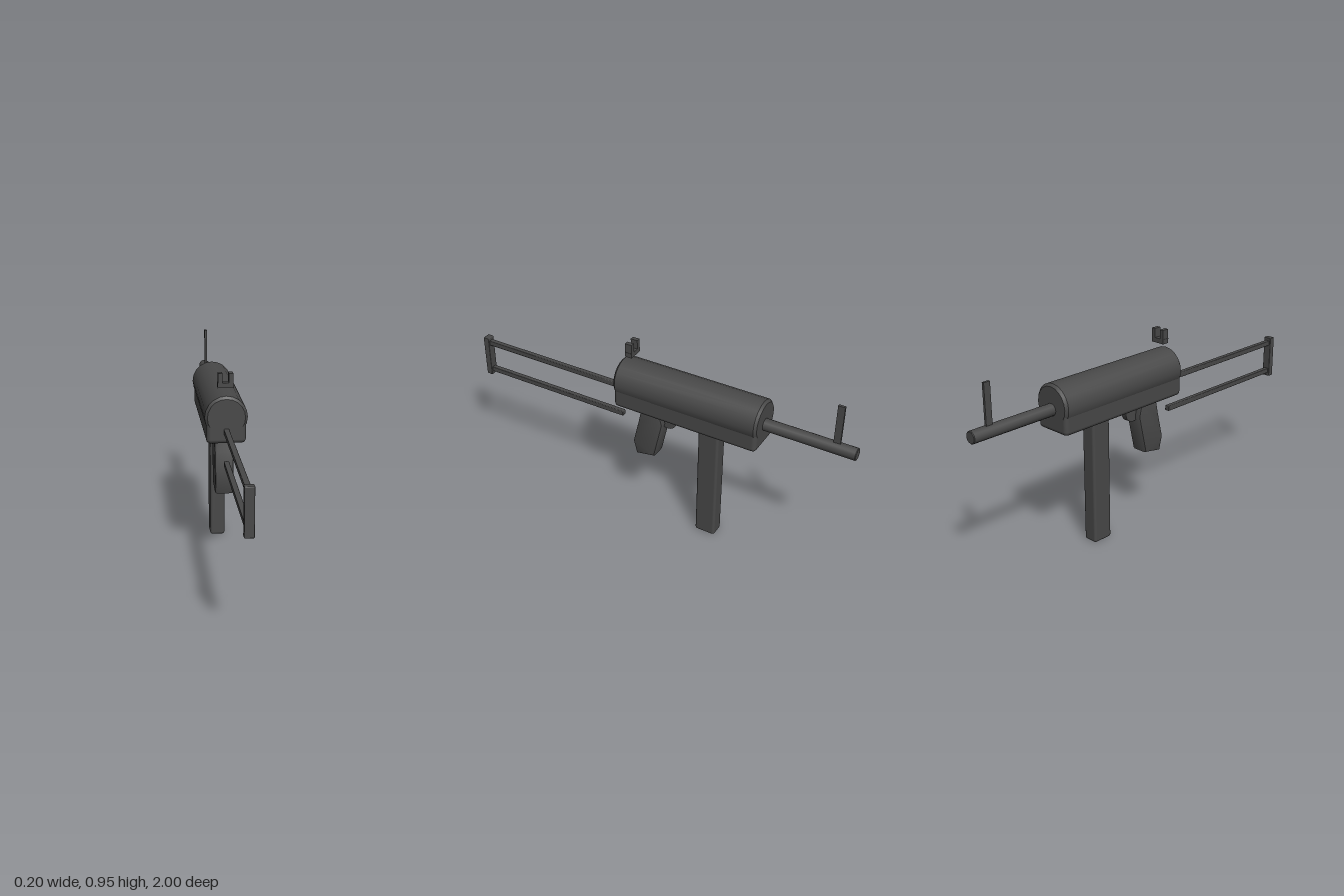
import * as THREE from 'three';
import { toCreasedNormals } from 'three/addons/utils/BufferGeometryUtils.js';
import { RoundedBoxGeometry } from 'three/addons/geometries/RoundedBoxGeometry.js';

export function createModel() {
  const model = new THREE.Group();
  const steel = new THREE.MeshStandardMaterial({ color: 0x484848 });
  steel.name = 'dark grey steel';

  function add(name, geometry, x = 0, y = 0, z = 0) {
    const mesh = new THREE.Mesh(geometry, steel);
    mesh.name = name;
    mesh.position.set(x, y, z);
    model.add(mesh);
    return mesh;
  }

  // Box given by its x, y and z ranges, optionally with rounded edges
  function box(name, [x0, x1], [y0, y1], [z0, z1], radius = 0) {
    const size = [x1 - x0, y1 - y0, z1 - z0];
    const geometry = radius
      ? new RoundedBoxGeometry(...size, 2, radius)
      : new THREE.BoxGeometry(...size);
    return add(name, geometry, (x0 + x1) / 2, (y0 + y1) / 2, (z0 + z1) / 2);
  }

  // Cylinder along z with bevelled rims
  function tube(name, radius, bevel, y, z0, z1, sides) {
    const profile = [
      [0, z0], [radius - bevel, z0], [radius, z0 + bevel],
      [radius, z1 - bevel], [radius - bevel, z1], [0, z1],
    ].map(([r, h]) => new THREE.Vector2(r, h));
    const geometry = new THREE.LatheGeometry(profile, sides).rotateX(Math.PI / 2);
    return add(name, toCreasedNormals(geometry, 0.6), 0, y, 0);
  }

  // Receiver and barrel
  tube('receiverTube', 0.1, 0.012, 0.75, -0.565, 0.175, 20);
  box('receiverBody', [-0.092, 0.092], [0.625, 0.76], [-0.565, 0.175], 0.02);
  tube('barrel', 0.029, 0.003, 0.732, -1, -0.55, 16);

  // Sights
  box('frontSight', [-0.006, 0.006], [0.75, 0.95], [-0.92, -0.888]);
  box('rearSightBase', [-0.037, 0.037], [0.882, 0.905], [0.105, 0.14]);
  for (const side of [-1, 1]) {
    const x = side * 0.025;
    box('rearSightProng', [x - 0.01, x + 0.01], [0.9, 0.95], [0.105, 0.14]);
  }

  // Wire stock with an end plate
  for (const y of [0.685, 0.53]) {
    box('stockRod', [-0.0125, 0.0125], [y - 0.013, y + 0.013], [0.175, 0.975], 0.004);
  }
  box('stockEndPlate', [-0.021, 0.021], [0.5, 0.714], [0.968, 1], 0.004);

  // Magazine
  box('magazine', [-0.037, 0.037], [0, 0.625], [-0.355, -0.25], 0.012);

  // Pistol grip: side outline swept across the width
  const bevel = 0.012;
  const outline = [
    [0.045, 0.61], [-0.036, 0.61], [-0.049, 0.56], [-0.008, 0.376],
    [0.072, 0.362], [0.087, 0.42], [0.058, 0.545],
  ].map(([z, y]) => new THREE.Vector2(z, y));
  const width = 0.09 - 2 * bevel;
  const gripGeometry = new THREE.ExtrudeGeometry(new THREE.Shape(outline), {
    depth: width, bevelSize: bevel, bevelThickness: bevel, bevelSegments: 2,
  });
  gripGeometry.translate(0, 0, -width / 2).rotateY(-Math.PI / 2);
  add('grip', toCreasedNormals(gripGeometry, 0.7));

  // Trigger disc
  const triggerGeometry = new THREE.CylinderGeometry(0.047, 0.047, 0.03, 20);
  add('trigger', triggerGeometry.rotateZ(Math.PI / 2), 0, 0.585, -0.076);

  return model;
}
